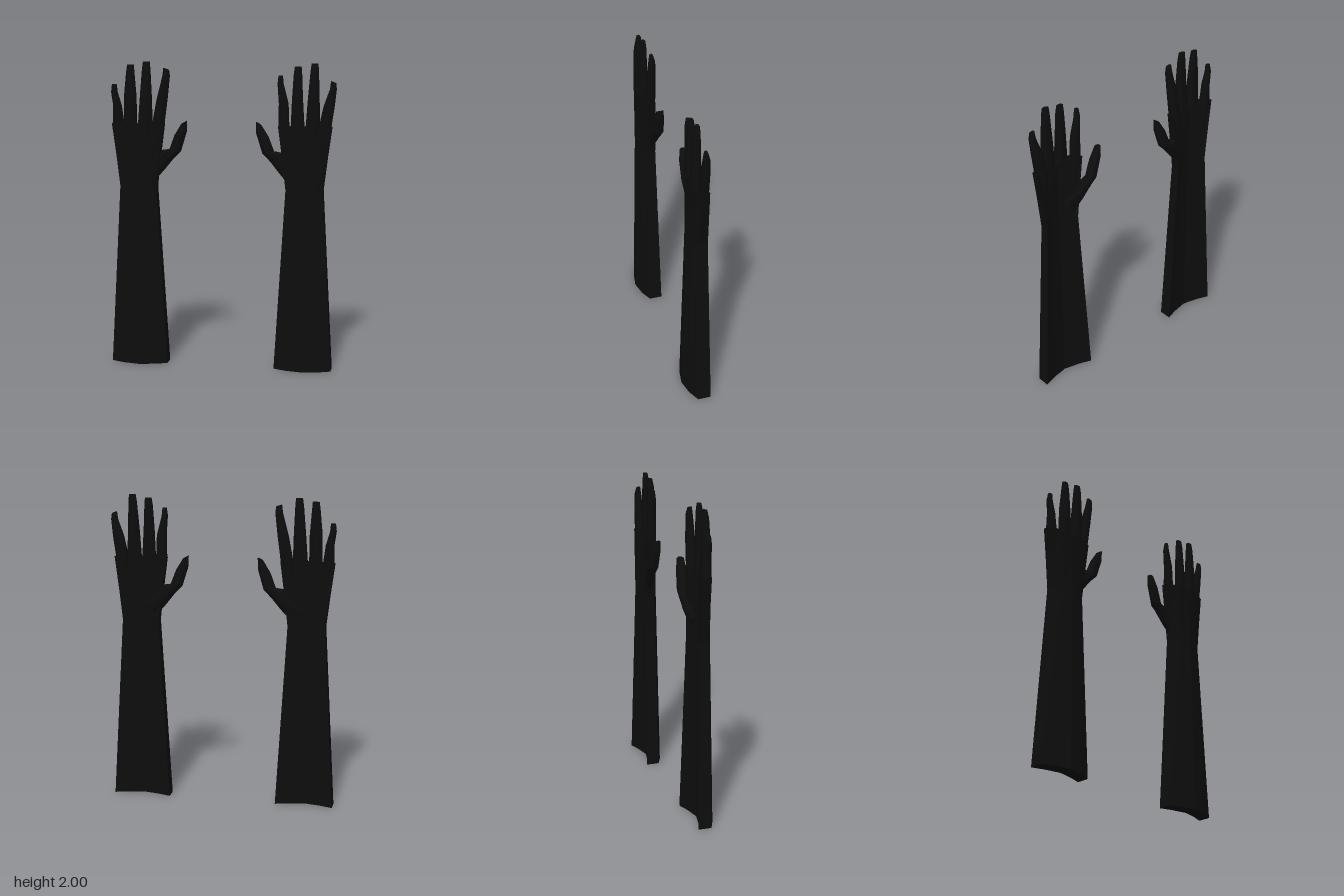
import * as THREE from 'three';

const material = new THREE.MeshStandardMaterial({ color: 0x0d0d0d, flatShading: true });

// Skin a stack of equal-length rings and close both ends with fans
function loft(name, rings) {
  const n = rings[0].length;
  const pos = rings.flat(2);
  const index = [];
  for (let i = 0; i < rings.length - 1; i++) {
    for (let j = 0; j < n; j++) {
      const a = i * n + j, b = i * n + (j + 1) % n;
      index.push(a, a + n, b, b, a + n, b + n);
    }
  }
  [0, rings.length - 1].forEach((r) => {
    const c = pos.length / 3;
    for (let k = 0; k < 3; k++) pos.push(rings[r].reduce((s, p) => s + p[k], 0) / n);
    for (let j = 0; j < n; j++) {
      const a = r * n + j, b = r * n + (j + 1) % n;
      if (r === 0) index.push(c, a, b);
      else index.push(c, b, a);
    }
  });
  const geometry = new THREE.BufferGeometry();
  geometry.setAttribute('position', new THREE.Float32BufferAttribute(pos, 3));
  geometry.setIndex(index);
  geometry.computeVertexNormals();
  const mesh = new THREE.Mesh(geometry, material);
  mesh.name = name;
  return mesh;
}

// Eight-sided ring spanning two edge points (a to b) with depth d around z
function ring([ax, ay, bx, by, z, d]) {
  return Array.from({ length: 8 }, (_, j) => {
    const t = (j + 0.5) / 8 * Math.PI * 2;
    const c = Math.cos(t) / Math.cos(Math.PI / 8) / 2 + 0.5;
    const s = Math.sin(t) / Math.cos(Math.PI / 8);
    return [ax + (bx - ax) * c, ay + (by - ay) * c, z + s * d];
  });
}

// Bowed cross-section of the sleeve: [position across the width, z]
const bow = [[1, -0.07], [1, 0.015], [0.57, 0.05], [0, 0.07], [-0.57, 0.05],
  [-1, 0.015], [-1, -0.07], [-0.57, -0.042], [0, -0.02], [0.57, -0.042]];

// Forearm and palm levels: [y, left x, right x, depth scale], from the hand's centre
const armLevels = [[0, -0.188, 0.188, 1], [1.19, -0.12, 0.12, 0.73],
  [1.4, -0.145, 0.145, 0.66], [1.6, -0.172, 0.172, 0.58]];

// Thumb sections from the hand's centre, as edge pairs
const thumbSections = [[0.03, 1.3, 0.10, 1.22, -0.02, 0.02],
  [0.12, 1.385, 0.17, 1.30, -0.03, 0.03],
  [0.155, 1.425, 0.222, 1.365, -0.035, 0.032],
  [0.203, 1.432, 0.276, 1.42, -0.035, 0.032],
  [0.238, 1.525, 0.316, 1.55, -0.03, 0.03],
  [0.285, 1.602, 0.318, 1.62, -0.028, 0.022]];

// Fingers: [base left, base right, middle left, middle right, tip left, tip right, tip y]
const hands = [
  { name: 'rightArm', centre: -0.551, side: 1, fingers: [
    [-0.718, -0.648, -0.715, -0.663, -0.722, -0.692, 1.85],
    [-0.638, -0.556, -0.636, -0.557, -0.615, -0.573, 1.98],
    [-0.544, -0.452, -0.53, -0.456, -0.51, -0.467, 2.0],
    [-0.456, -0.379, -0.425, -0.357, -0.38, -0.344, 1.96]] },
  { name: 'leftArm', centre: 0.539, side: -1, fingers: [
    [0.368, 0.436, 0.37, 0.43, 0.367, 0.394, 1.92],
    [0.451, 0.536, 0.457, 0.525, 0.472, 0.514, 1.98],
    [0.546, 0.636, 0.558, 0.63, 0.578, 0.62, 2.0],
    [0.627, 0.705, 0.655, 0.724, 0.70, 0.732, 1.89]] },
];

export function createModel() {
  const model = new THREE.Group();
  model.name = 'pairOfArms';
  for (const { name, centre, side, fingers } of hands) {
    const arm = new THREE.Group();
    arm.name = name;

    // Sleeve from cuff to knuckles
    arm.add(loft('forearmAndPalm', armLevels.map(([y, l, r, s]) =>
      bow.map(([u, z]) => [centre + (l + r) / 2 + u * (r - l) / 2, y, z * s]))));

    // Fingers, rooted in the palm and following its bow
    fingers.forEach(([bl, br, ml, mr, tl, tr, ty], i) => {
      const z = i === 0 || i === 3 ? -0.014 : 0.012;
      const mid = (bl + br) / 2, root = mid + (centre - mid) * 0.2;
      const my = 1.6 + (ty - 1.6) * 0.45;
      arm.add(loft('finger' + (i + 1), [
        [root - 0.018, 1.38, root + 0.018, 1.38, z - 0.004, 0.016],
        [bl, 1.6, br, 1.6, z, 0.03],
        [ml, my, mr, my, z, 0.027],
        [tl - 0.006, ty - 0.05, tr + 0.004, ty - 0.05, z * 0.8, 0.02],
        [tl, ty, tr, ty - (i === 3 ? 0.012 : 0), z * 0.6, 0.012],
      ].map(ring)));
    });

    // Thumb, mirrored by swapping the edge points
    arm.add(loft('thumb', thumbSections.map(([ax, ay, bx, by, z, d]) => ring(side > 0
      ? [centre + ax, ay, centre + bx, by, z, d]
      : [centre - bx, by, centre - ax, ay, z, d]))));
    model.add(arm);
  }
  return model;
}
